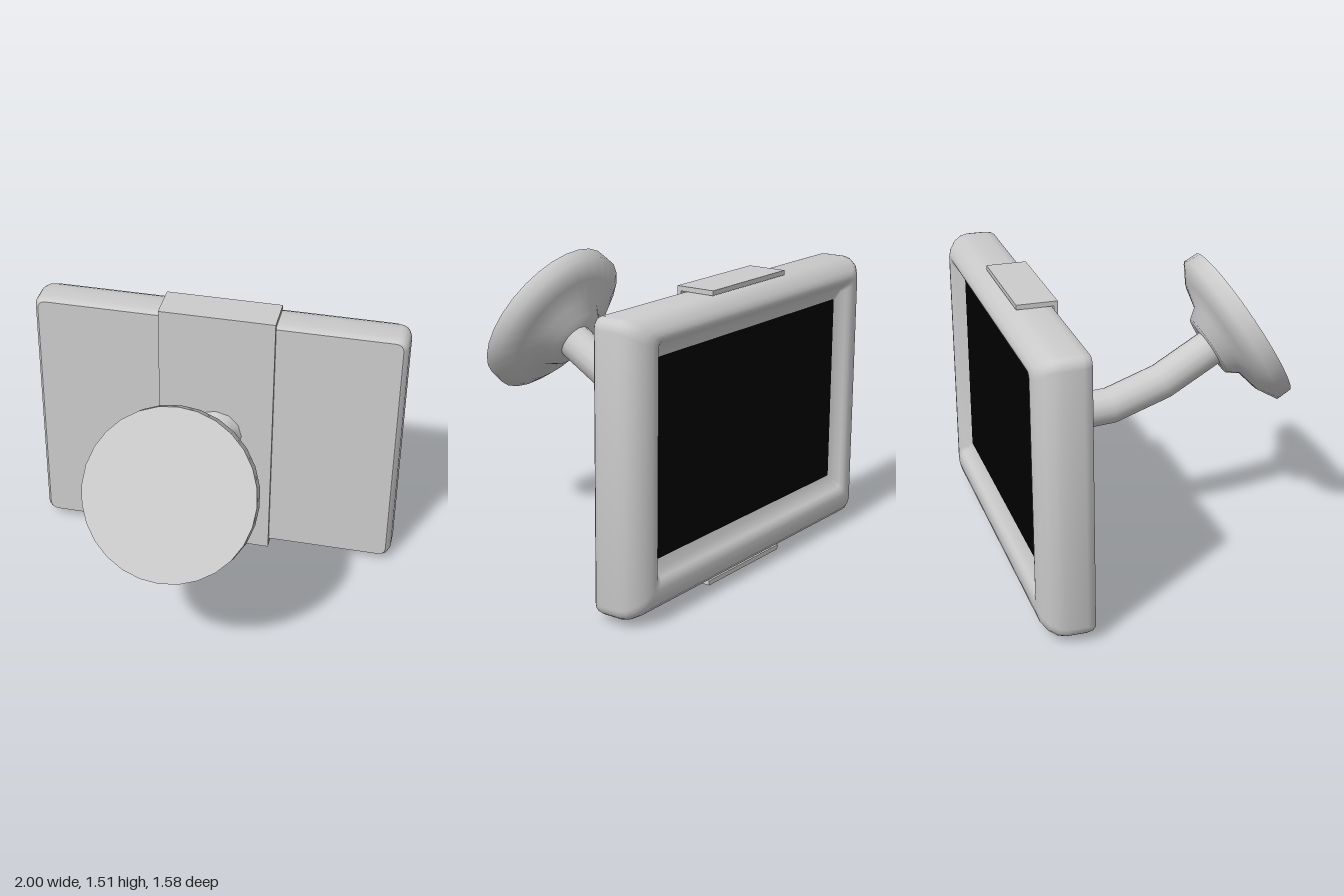
import * as THREE from 'three';
import { toCreasedNormals } from 'three/addons/utils/BufferGeometryUtils.js';

const grey = () => new THREE.MeshStandardMaterial({ color: 0xcccccc });

function add(parent, name, geometry, material = grey()) {
  const mesh = new THREE.Mesh(geometry, material);
  mesh.name = name;
  parent.add(mesh);
  return mesh;
}

// Counter-clockwise rounded rectangle of half sizes w, h and corner radius r
function roundedRect(w, h, r, steps = 4) {
  const points = [];
  const corners = [[1, 1], [-1, 1], [-1, -1], [1, -1]];
  corners.forEach(([sx, sy], q) => {
    for (let i = 0; i <= steps; i++) {
      const a = (q + i / steps) * Math.PI / 2;
      points.push(new THREE.Vector2(sx * (w - r) + r * Math.cos(a), sy * (h - r) + r * Math.sin(a)));
    }
  });
  return points;
}

// Skin over rounded-rectangle sections [w, h, r, centreY, z], running front to back
function loft(sections) {
  const rings = sections.map(([w, h, r, cy, z]) =>
    roundedRect(w, h, r).map(p => new THREE.Vector3(p.x, p.y + cy, z)));
  const n = rings[0].length;
  const position = [];
  const triangle = (a, b, c) => {
    const area = b.clone().sub(a).cross(c.clone().sub(a)).length();
    if (area > 1e-9) for (const p of [a, b, c]) position.push(p.x, p.y, p.z);
  };
  for (let i = 0; i < rings.length - 1; i++) {
    for (let j = 0; j < n; j++) {
      const k = (j + 1) % n;
      triangle(rings[i][j], rings[i + 1][j], rings[i][k]);
      triangle(rings[i][k], rings[i + 1][j], rings[i + 1][k]);
    }
  }
  const geometry = new THREE.BufferGeometry();
  geometry.setAttribute('position', new THREE.Float32BufferAttribute(position, 3));
  return toCreasedNormals(geometry, 0.7);
}

function lathe(profile, segments, crease) {
  const points = profile.map(([r, y]) => new THREE.Vector2(r, y));
  return toCreasedNormals(new THREE.LatheGeometry(points, segments), crease);
}

export function createModel() {
  const model = new THREE.Group();
  model.name = 'mountedDisplay';

  // Housing: flat front panel, rounded back edges, shallow sloping screen recess
  const cy = 0.743, sy = 0.773, screenZ = -0.73;
  add(model, 'housing', loft([
    [0, 0, 0, cy, -0.525],
    [0.975, 0.698, 0.04, cy, -0.525],
    [0.99, 0.707, 0.05, cy, -0.54],
    [1, 0.711, 0.055, cy, -0.57],
    [1, 0.711, 0.055, cy, -0.67],
    [0.991, 0.704, 0.055, cy, -0.71],
    [0.968, 0.685, 0.055, cy, -0.747],
    [0.928, 0.655, 0.05, cy, -0.776],
    [0.89, 0.625, 0.04, cy + 0.01, -0.788],
    [0.865, 0.597, 0.035, cy + 0.02, -0.79],
    [0.842, 0.575, 0.03, sy, -0.785],
    [0.828, 0.56, 0.03, sy, -0.77],
    [0.81, 0.535, 0.02, sy, -0.745],
    [0.77, 0.485, 0.01, sy, screenZ],
  ]));

  // Black screen at the bottom of the recess
  const screen = add(model, 'screen',
    new THREE.ShapeGeometry(new THREE.Shape(roundedRect(0.77, 0.485, 0.01))),
    new THREE.MeshStandardMaterial({ color: 0x000000 }));
  screen.rotation.y = Math.PI;
  screen.position.set(0, sy, screenZ);

  // Bracket: plate with a tab gripping the top and bottom of the housing
  const bracket = new THREE.Group();
  bracket.name = 'bracket';
  model.add(bracket);
  add(bracket, 'bracketPlate', new THREE.BoxGeometry(0.624, 1.48, 0.02)).position.set(0, 0.74, -0.514);
  for (const [name, y] of [['topTab', 1.468], ['bottomTab', 0.012]]) {
    add(bracket, name, new THREE.BoxGeometry(0.624, 0.024, 0.185)).position.set(0, y, -0.6165);
  }

  // Collar with a flared foot on the bracket plate
  const collar = add(model, 'collar',
    lathe([[0.147, 0], [0.118, 0.025], [0.118, 0.222], [0.085, 0.222]], 12, 1.2));
  collar.rotation.x = Math.PI / 2;
  collar.position.set(0, 0.748, -0.506);

  // Bent arm, with one ring at each bend
  const path = new THREE.CatmullRomCurve3([[0.75, -0.32], [0.762, -0.155], [0.862, 0.125], [1.03, 0.41]]
    .map(([y, z]) => new THREE.Vector3(0, y, z)));
  path.getPointAt = t => path.getPoint(t);
  path.getTangentAt = t => path.getTangent(t);
  add(model, 'arm', new THREE.TubeGeometry(path, 3, 0.096, 14));

  // Tilted suction cup: flat face, thick rim, domed back and hub
  const cup = add(model, 'suctionCup', lathe([
    [0, -0.22], [0.167, -0.22], [0.212, -0.162], [0.338, -0.132],
    [0.433, -0.076], [0.431, 0], [0, 0],
  ], 28, 1.3));
  cup.rotation.x = Math.PI / 3;
  cup.position.set(0, 1.137, 0.572);

  return model;
}
